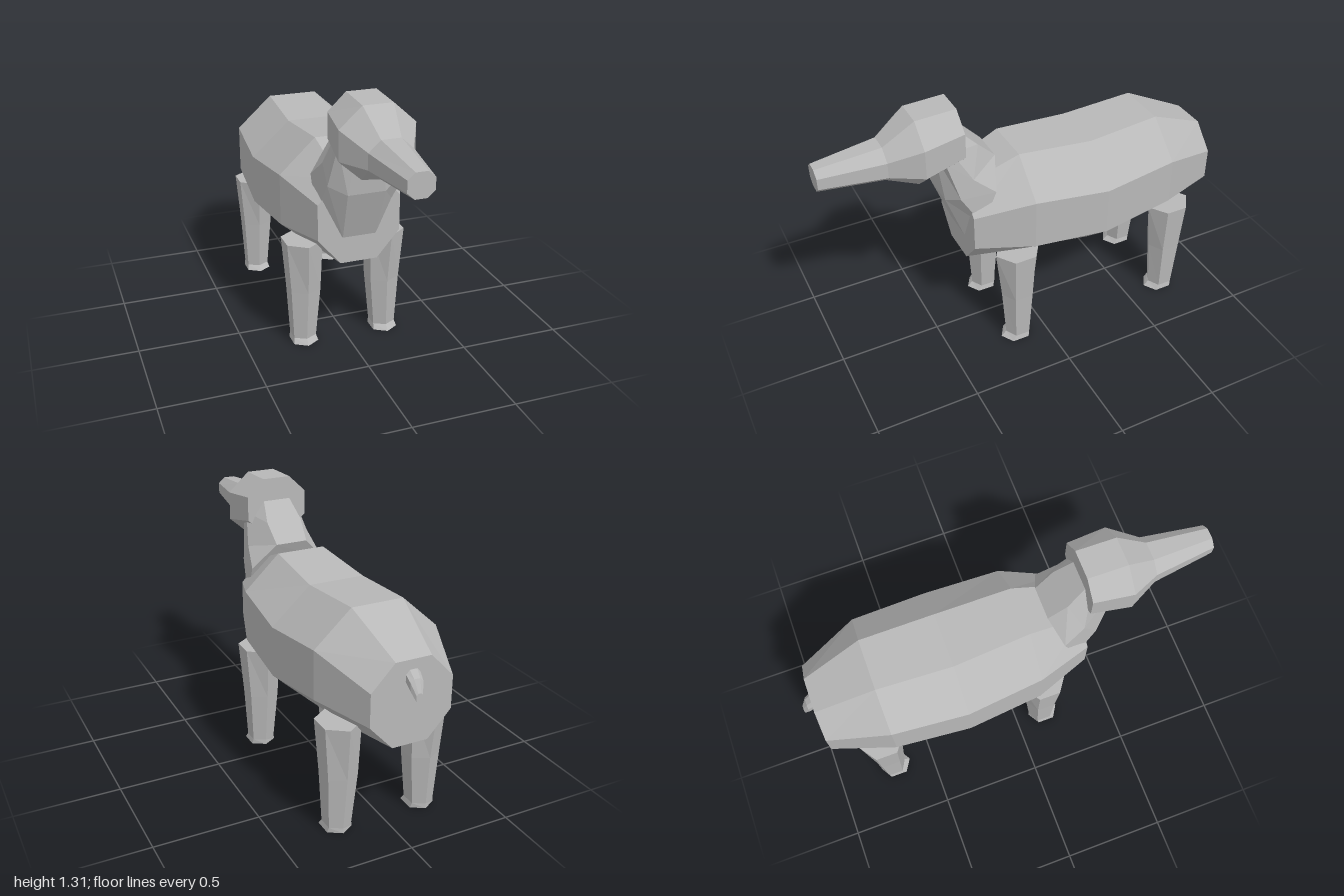
import * as THREE from 'three';

// Skin a list of rings (counter-clockwise seen from the first end), capped at both ends
function loft(rings) {
  const pos = [];
  const tri = (a, b, c) => pos.push(...a, ...b, ...c);
  const n = rings[0].length;
  for (let r = 0; r < rings.length - 1; r++) {
    const a = rings[r], b = rings[r + 1];
    for (let i = 0; i < n; i++) {
      const j = (i + 1) % n;
      tri(a[i], b[i], b[j]);
      tri(a[i], b[j], a[j]);
    }
  }
  const first = rings[0], last = rings[rings.length - 1];
  for (let i = 1; i < n - 1; i++) {
    tri(first[0], first[i], first[i + 1]);
    tri(last[0], last[i + 1], last[i]);
  }
  const geo = new THREE.BufferGeometry();
  geo.setAttribute('position', new THREE.Float32BufferAttribute(pos, 3));
  geo.computeVertexNormals();
  return geo;
}

// Eight-sided ring from four [y, z] levels, with outer and inner half widths
function octagon(outer, inner, levels) {
  const [top, high, low, bottom] = levels;
  return [
    [inner, ...top], [-inner, ...top], [-outer, ...high], [-outer, ...low],
    [-inner, ...bottom], [inner, ...bottom], [outer, ...low], [outer, ...high],
  ];
}

// Upright ring at one z
const slice = (z, outer, inner, ...ys) => octagon(outer, inner, ys.map((y) => [y, z]));

// Horizontal six-sided ring with a corner at the front and back
const hexagon = (y, cx, cz, hx, hz, flat) => [
  [cx + hx, y, cz - flat], [cx, y, cz - hz], [cx - hx, y, cz - flat],
  [cx - hx, y, cz + flat], [cx, y, cz + hz], [cx + hx, y, cz + flat],
];

export function createModel() {
  const group = new THREE.Group();
  const grey = new THREE.MeshStandardMaterial({ color: 0xb8b8b8, flatShading: true });
  grey.name = 'grey';
  const add = (name, rings) => {
    const mesh = new THREE.Mesh(loft(rings), grey);
    mesh.name = name;
    group.add(mesh);
    return mesh;
  };

  // Barrel body, chest to rump
  add('body', [
    slice(0.355, 0.2, 0.09, 0.91, 0.795, 0.62, 0.49),
    slice(0.085, 0.295, 0.12, 1.02, 0.855, 0.605, 0.46),
    slice(-0.285, 0.323, 0.135, 0.99, 0.82, 0.58, 0.407),
    slice(-0.65, 0.3, 0.125, 1.015, 0.855, 0.625, 0.455),
    slice(-0.945, 0.195, 0.085, 0.88, 0.765, 0.61, 0.49),
  ]);

  // Neck, from inside the head down to a slanted base in the chest
  add('neck', [
    octagon(0.14, 0.06, [[1.24, 0.4], [1.14, 0.42], [1.1, 0.455], [1.1, 0.47]]),
    octagon(0.17, 0.09, [[1.115, 0.275], [0.99, 0.335], [0.9, 0.4], [0.862, 0.445]]),
    octagon(0.193, 0.08, [[1.026, 0.188], [0.905, 0.236], [0.74, 0.306], [0.62, 0.357]]),
  ]);

  // Head with long tapering snout
  add('head', [
    slice(1, 0.06, 0.027, 1.167, 1.138, 1.085, 1.055),
    slice(0.7, 0.1, 0.045, 1.2, 1.15, 1.075, 1.03),
    slice(0.555, 0.175, 0.07, 1.305, 1.21, 1.07, 0.976),
    slice(0.36, 0.155, 0.07, 1.312, 1.23, 1.11, 1.04),
  ]);

  // Tail hanging from the rump
  add('tail', [
    slice(-0.935, 0.036, 0.018, 0.845, 0.825, 0.795, 0.775),
    slice(-0.975, 0.03, 0.014, 0.805, 0.79, 0.755, 0.735),
    slice(-1, 0.015, 0.007, 0.75, 0.74, 0.715, 0.705),
  ]);

  // Four legs with slightly flared feet
  for (const [row, dz, dx] of [['front', 0, 0], ['back', -0.85, 0.006]]) {
    for (const [side, s] of [['Left', 1], ['Right', -1]]) {
      const x = (v) => s * (v + dx);
      add(`${row}${side}Leg`, [
        hexagon(0.54, x(0.209), 0.139 + dz, 0.088, 0.114, 0.053),
        hexagon(0.28, x(0.204), 0.138 + dz, 0.073, 0.085, 0.046),
        hexagon(0.025, x(0.209), 0.14 + dz, 0.056, 0.066, 0.036),
        hexagon(0, x(0.209), 0.152 + dz, 0.062, 0.08, 0.042),
      ]);
    }
  }
  return group;
}
